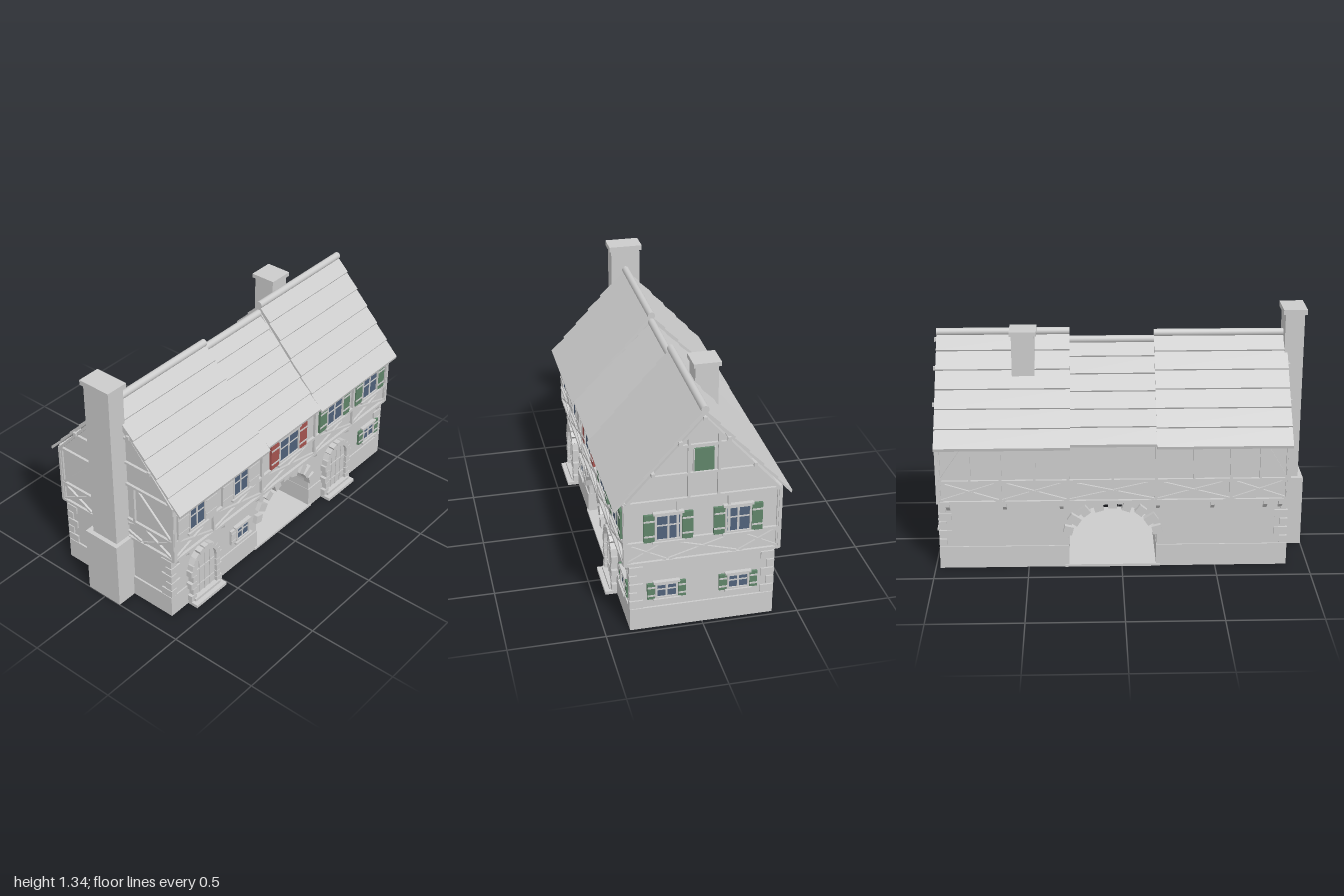
import * as THREE from 'three';

const mat = (name, hex, side = THREE.FrontSide) => {
  const m = new THREE.MeshStandardMaterial({ color: hex, side });
  m.name = name;
  return m;
};
const STONE = mat('pale grey', 0xcccccc);
const GREEN = mat('shutter green', 0x5f8469);
const RED = mat('shutter red', 0xa65450);
const GLASS = mat('window blue', 0x50627a);

function add(parent, name, geo, material, x = 0, y = 0, z = 0, rz = 0) {
  const m = new THREE.Mesh(geo, material);
  m.name = name;
  m.position.set(x, y, z);
  m.rotation.z = rz;
  parent.add(m);
  return m;
}
const box = (parent, name, w, h, d, x, y, z, material = STONE, rz = 0) =>
  add(parent, name, new THREE.BoxGeometry(w, h, d), material, x, y, z, rz);

// Box given by its limits
const span = (parent, name, x0, x1, y0, y1, z0, z1) =>
  box(parent, name, x1 - x0, y1 - y0, z1 - z0, (x0 + x1) / 2, (y0 + y1) / 2, (z0 + z1) / 2);

// Cross-section in (z, y), extruded along x
function extrudeX(parent, name, pts, x0, x1) {
  const shape = new THREE.Shape(pts.map(p => new THREE.Vector2(p[0], p[1])));
  const geo = new THREE.ExtrudeGeometry(shape, { depth: x1 - x0, bevelEnabled: false });
  geo.rotateY(Math.PI / 2);
  return add(parent, name, geo, STONE, x0);
}

// A wall face: local x runs along the wall, local z points outwards
function face(root, name, angle, dist) {
  const g = new THREE.Group();
  g.name = name;
  g.rotation.y = angle;
  g.position.set(Math.sin(angle) * dist, 0, Math.cos(angle) * dist);
  root.add(g);
  return g;
}

function beam(f, u1, v1, u2, v2, w = 0.015, d = 0.026) {
  box(f, 'timber', Math.hypot(u2 - u1, v2 - v1), w, d, (u1 + u2) / 2, (v1 + v2) / 2, 0, STONE, Math.atan2(v2 - v1, u2 - u1));
}

// Sill band with crossed braces in each bay
function crossBand(f, us) {
  const a = us[0], b = us[us.length - 1];
  for (const v of [0.39, 0.508, 0.735]) beam(f, a, v, b, v);
  for (let i = 0; i < us.length - 1; i++) {
    const l = us[i] + 0.008, r = us[i + 1] - 0.008;
    beam(f, l, 0.4, r, 0.5, 0.012, 0.018);
    beam(f, l, 0.5, r, 0.4, 0.012, 0.021);
  }
}

// Window with frame, glazing bars, sill and banded shutters
function windowUnit(f, u, v, w, h, shutter, sw, sides = [-1, 1]) {
  const g = new THREE.Group();
  g.name = 'window';
  g.position.set(u, v, 0);
  f.add(g);
  box(g, 'glass', w, h, 0.009, 0, 0, 0.007, GLASS);
  for (const s of [-1, 1]) {
    box(g, 'frame', 0.01, h + 0.01, 0.022, s * w / 2, 0, 0.008);
    box(g, 'frame', w + 0.01, 0.01, 0.022, 0, s * h / 2, 0.008);
  }
  box(g, 'glazingBar', 0.011, h, 0.01, 0, 0, 0.009);
  box(g, 'glazingBar', w, 0.008, 0.01, 0, h * 0.08, 0.0085);
  box(g, 'sill', w + 0.035, 0.013, 0.034, 0, -h / 2 - 0.01, 0.012);
  box(g, 'lintel', w + 0.03, 0.011, 0.026, 0, h / 2 + 0.009, 0.009);
  for (const s of sides) {
    const x = s * (w / 2 + 0.007 + sw / 2);
    box(g, 'shutter', sw, h + 0.012, 0.014, x, 0, 0.01, shutter);
    for (const t of [-1, 1]) box(g, 'shutterBand', sw, 0.009, 0.004, x, t * h * 0.3, 0.018);
  }
}

// Arched plank door in a stone surround
function door(f, x) {
  const g = new THREE.Group();
  g.name = 'door';
  g.position.x = x;
  f.add(g);
  const s = new THREE.Shape();
  s.moveTo(-0.085, 0.02);
  s.lineTo(0.085, 0.02);
  s.lineTo(0.085, 0.225);
  s.absarc(0, 0.225, 0.085, 0, Math.PI);
  add(g, 'doorLeaf', new THREE.ExtrudeGeometry(s, { depth: 0.018, bevelEnabled: false, curveSegments: 12 }), STONE);
  for (const u of [-0.042, 0, 0.042]) box(g, 'doorBatten', 0.006, 0.26, 0.006, u, 0.16, 0.019);
  for (const v of [0.09, 0.2]) box(g, 'doorStrap', 0.15, 0.008, 0.006, 0, v, 0.02);
  for (const side of [-1, 1]) for (let i = 0; i < 5; i++) {
    const w = i % 2 ? 0.028 : 0.042;
    box(g, 'jambStone', w, 0.038, 0.04, side * (0.08 + w / 2), 0.04 + i * 0.042, 0.015);
  }
  for (let i = 0; i < 9; i++) {
    const a = Math.PI * (i + 0.5) / 9;
    box(g, 'archStone', 0.034, 0.032, 0.04, Math.cos(a) * 0.095, 0.225 + Math.sin(a) * 0.095, 0.015, STONE, a);
  }
  box(g, 'lowerStep', 0.24, 0.018, 0.08, 0, 0.009, 0.03);
  box(g, 'upperStep', 0.2, 0.016, 0.04, 0, 0.026, 0.025);
}

// Pitched roof with stepped tile courses and a round ridge
function roof(root, x0, x1, eaveZ, eaveY, ridgeY) {
  const n = 6, lift = 0.008, right = [];
  for (let i = 0; i < n; i++) {
    const z = t => eaveZ * (1 - t), y = t => eaveY + (ridgeY - eaveY) * t;
    right.push([z(i / n) + 0.004, y(i / n) + lift], [z((i + 1) / n), y((i + 1) / n)]);
  }
  const mirror = right.slice(0, -1).reverse().map(p => [-p[0], p[1]]);
  const under = [[-eaveZ, eaveY - 0.008], [0, ridgeY - 0.022], [eaveZ, eaveY - 0.008]];
  extrudeX(root, 'roof', [...right, ...mirror, ...under], x0, x1);
  const ridge = new THREE.CylinderGeometry(0.02, 0.02, x1 - x0, 16).rotateZ(Math.PI / 2);
  add(root, 'ridge', ridge, STONE, (x0 + x1) / 2, ridgeY + 0.003, 0);
}

export function createModel() {
  const root = new THREE.Group();
  root.name = 'gatehouse';

  // Ground floor with an arched passage running through
  const cx = 0.05, s = new THREE.Shape();
  s.moveTo(-0.875, 0);
  s.lineTo(cx - 0.235, 0);
  s.lineTo(cx - 0.235, 0.17);
  s.absellipse(cx, 0.17, 0.235, 0.19, Math.PI, 0, true);
  s.lineTo(cx + 0.235, 0);
  s.lineTo(0.965, 0);
  s.lineTo(0.965, 0.385);
  s.lineTo(-0.875, 0.385);
  add(root, 'groundFloor', new THREE.ExtrudeGeometry(s, { depth: 0.73, bevelEnabled: false, curveSegments: 20 }), STONE, 0, 0, -0.365);
  span(root, 'plinth', -0.885, -0.183, 0, 0.123, -0.372, 0.372);
  span(root, 'plinth', 0.283, 0.975, 0, 0.123, -0.372, 0.372);
  span(root, 'passageFloor', -0.205, 0.305, 0, 0.014, -0.378, 0.378);

  // Upper floor and gables, with roofs, in three sections
  const sections = [[-0.875, -0.18, 1.165], [-0.18, 0.27, 1.135], [0.27, 0.965, 1.175]];
  for (const [a, b, top] of sections)
    extrudeX(root, 'upperFloor', [[0.388, 0.382], [0.388, 0.735], [0, top], [-0.388, 0.735], [-0.388, 0.382]], a, b);
  roof(root, -0.89, -0.18, 0.446, 0.708, 1.194);
  roof(root, -0.18, 0.27, 0.436, 0.72, 1.16);
  roof(root, 0.27, 0.978, 0.446, 0.708, 1.208);

  // Corner quoins
  for (const [x, sx] of [[-0.876, -1], [0.966, 1]]) for (const sz of [-1, 1]) for (let i = 0; i < 5; i++) {
    const lx = i % 2 ? 0.07 : 0.04, lz = i % 2 ? 0.04 : 0.07;
    box(root, 'quoin', lx, 0.043, lz, x + sx * (0.008 - lx / 2), 0.148 + i * 0.05, sz * (0.374 - lz / 2));
  }

  // Long walls: timbers, brackets and arch stones
  const posts = [-0.877, -0.575, -0.18, 0.285, 0.64, 0.967];
  const front = face(root, 'frontTimbers', 0, 0.39);
  const back = face(root, 'backTimbers', Math.PI, 0.39);
  for (const [f, sg] of [[front, 1], [back, -1]]) {
    const us = posts.map(p => p * sg).sort((a, b) => a - b);
    crossBand(f, us);
    for (const u of us) beam(f, u, 0.385, u, 0.735);
    const lower = face(root, 'archSurround', sg > 0 ? 0 : Math.PI, 0.365);
    for (let i = 0; i < 9; i++) {
      const a = (14 + 19 * i) * Math.PI / 180;
      box(lower, 'archStone', i % 2 ? 0.065 : 0.05, 0.047, 0.04, cx * sg + Math.cos(a) * 0.243, 0.17 + Math.sin(a) * 0.2, 0.005, STONE, a);
    }
    for (const x of [-0.84, -0.76, -0.48, -0.19, 0.32, 0.62, 0.92])
      extrudeX(root, 'bracket', [[-sg * 0.36, 0.33], [-sg * 0.36, 0.386], [-sg * 0.4, 0.386], [-sg * 0.4, 0.365]], x - 0.01, x + 0.01);
  }
  // Rear wall posts and end braces
  for (const u of [0.73, 0.38, -0.05, -0.46, -0.8]) beam(back, u, 0.51, u, 0.735, 0.012);
  beam(back, -0.96, 0.51, -0.81, 0.73, 0.012, 0.02);
  beam(back, 0.87, 0.51, 0.74, 0.73, 0.012, 0.02);

  // Gable walls
  const rightGable = face(root, 'rightGable', Math.PI / 2, 0.966);
  const leftGable = face(root, 'leftGable', -Math.PI / 2, 0.876);
  for (const g of [rightGable, leftGable]) {
    crossBand(g, [-0.39, -0.18, 0.18, 0.39]);
    beam(g, -0.26, 0.872, 0.26, 0.872, 0.013);
    beam(g, -0.13, 1.025, 0.13, 1.025, 0.013);
    for (const sd of [-1, 1]) {
      beam(g, sd * 0.393, 0.385, sd * 0.393, 0.735);
      beam(g, sd * 0.075, 0.735, sd * 0.075, 1.08, 0.013);
      beam(g, sd * 0.13, 0.51, sd * 0.13, 0.735, 0.013);
      beam(g, sd * 0.39, 0.73, 0, 1.165, 0.014);
      for (const [u, v] of [[0.255, 0.89], [0.12, 1.047]]) box(g, 'purlinEnd', 0.018, 0.02, 0.05, sd * u, v, 0);
    }
    box(g, 'purlinEnd', 0.018, 0.02, 0.05, 0, 1.168, 0);
  }
  for (const sd of [-1, 1]) beam(leftGable, sd * 0.38, 0.51, sd * 0.15, 0.73, 0.013, 0.02);
  box(rightGable, 'loftHatch', 0.1, 0.122, 0.012, 0, 0.945, 0.005, GREEN);
  for (const sd of [-1, 1]) box(rightGable, 'hatchFrame', 0.006, 0.122, 0.02, sd * 0.052, 0.945, 0.003);

  // Right-hand side windows
  for (const sd of [-1, 1]) {
    windowUnit(rightGable, sd * 0.177, 0.59, 0.125, 0.142, GREEN, 0.055);
    windowUnit(rightGable, sd * 0.185, 0.222, 0.105, 0.078, GREEN, 0.04);
  }

  // Front windows and doors
  windowUnit(front, -0.71, 0.597, 0.12, 0.145, STONE, 0.08);
  windowUnit(front, -0.365, 0.597, 0.12, 0.145, STONE, 0.08);
  windowUnit(front, 0.042, 0.597, 0.165, 0.145, RED, 0.065);
  windowUnit(front, 0.455, 0.597, 0.14, 0.145, GREEN, 0.06);
  windowUnit(front, 0.79, 0.597, 0.14, 0.145, GREEN, 0.06);
  const lowerFront = face(root, 'lowerFront', 0, 0.365);
  windowUnit(lowerFront, -0.317, 0.222, 0.1, 0.08, STONE, 0.04, [-1]);
  windowUnit(lowerFront, 0.845, 0.222, 0.1, 0.08, GREEN, 0.038);
  for (const x of [-0.637, 0.522]) door(lowerFront, x);

  // Chimneys
  span(root, 'chimneyBase', -1, -0.87, 0, 0.393, -0.115, 0.105);
  span(root, 'chimneyStack', -0.975, -0.873, 0.39, 1.32, -0.083, 0.083);
  span(root, 'chimneyCap', -0.987, -0.861, 1.315, 1.343, -0.095, 0.095);
  span(root, 'smallChimney', 0.455, 0.575, 0.95, 1.24, -0.175, -0.053);
  span(root, 'smallChimneyCap', 0.444, 0.586, 1.236, 1.259, -0.187, -0.042);
  return root;
}
